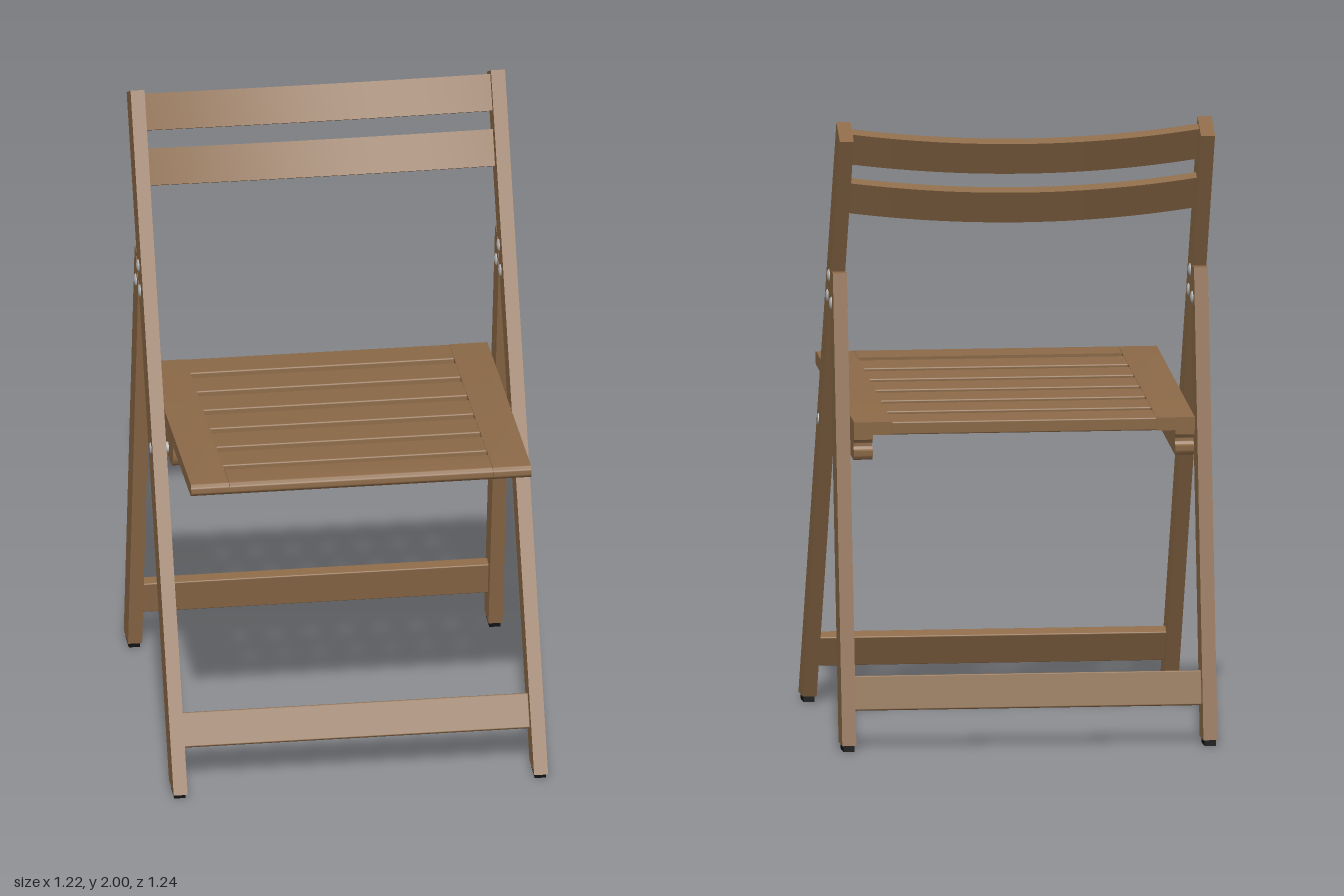
import * as THREE from 'three';
import { toCreasedNormals } from 'three/addons/utils/BufferGeometryUtils.js';
import { RoundedBoxGeometry } from 'three/addons/geometries/RoundedBoxGeometry.js';

const material = (name, color) => {
  const m = new THREE.MeshStandardMaterial({ color });
  m.name = name;
  return m;
};

export function createModel() {
  const wood = material('wood', 0x8b6947);
  const metal = material('metal', 0xb4b6b8);
  const rubber = material('rubber', 0x101010);
  const chair = new THREE.Group();
  chair.name = 'foldingChair';

  const add = (parent, name, geometry, mat, x = 0, y = 0, z = 0) => {
    const mesh = new THREE.Mesh(geometry, mat);
    mesh.name = name;
    mesh.position.set(x, y, z);
    parent.add(mesh);
    return mesh;
  };

  // Side profile in (z, y), given thickness along x
  const plank = (shape, width) => {
    const g = new THREE.ExtrudeGeometry(shape, { depth: width, bevelEnabled: false, curveSegments: 10 });
    g.translate(0, 0, -width / 2).rotateY(-Math.PI / 2);
    return toCreasedNormals(g, 0.6);
  };
  const polygon = (pts) => new THREE.Shape(pts.map(([z, y]) => new THREE.Vector2(z, y)));

  const frontLegShape = polygon([[0.495, 0.02], [0.61, 0.02], [-0.45, 2], [-0.545, 1.95]]);
  const rearLegShape = polygon([[-0.615, 0.02], [-0.51, 0.02], [-0.26, 1.4], [-0.31, 1.5], [-0.35, 1.5]]);

  // Seat is a tilted group with its boards in local space
  const seat = new THREE.Group();
  seat.name = 'seat';
  seat.position.set(0, 1.054, 0.08);
  seat.rotation.x = -0.0715;
  chair.add(seat);
  const T = 0.042, L = 1.083;

  // Board profile with a rounded nose at the front
  const noseBoard = (back, front) => {
    const s = new THREE.Shape();
    s.moveTo(back, -T / 2);
    s.lineTo(front - T / 2, -T / 2);
    s.absarc(front - T / 2, 0, T / 2, -Math.PI / 2, Math.PI / 2, false);
    s.lineTo(back, T / 2);
    return s;
  };

  // Support rail under the seat: rounded ends and a notch at the rear
  const railShape = new THREE.Shape();
  railShape.moveTo(-0.515, -0.105);
  railShape.lineTo(0.03, -0.105);
  railShape.quadraticCurveTo(0.08, -0.105, 0.08, -0.055);
  railShape.lineTo(0.08, -T / 2);
  railShape.lineTo(-0.54, -T / 2);
  railShape.lineTo(-0.54, -0.036);
  railShape.absarc(-0.54, -0.054, 0.018, Math.PI / 2, -Math.PI / 2, true);
  railShape.lineTo(-0.54, -0.085);
  railShape.quadraticCurveTo(-0.54, -0.105, -0.515, -0.105);

  const boltGeometry = new THREE.SphereGeometry(0.02, 12, 8).scale(0.4, 1, 1);
  const pinGeometry = new THREE.CylinderGeometry(0.017, 0.017, 0.134, 16).rotateZ(Math.PI / 2);

  for (const [side, s] of [['left', 1], ['right', -1]]) {
    add(chair, side + 'FrontLeg', plank(frontLegShape, 0.045), wood, s * 0.5775);
    add(chair, side + 'RearLeg', plank(rearLegShape, 0.045), wood, s * 0.5775);
    // Rubber feet
    add(chair, side + 'FrontFoot', new THREE.BoxGeometry(0.036, 0.022, 0.08), rubber, s * 0.5775, 0.011, 0.55);
    add(chair, side + 'RearFoot', new THREE.BoxGeometry(0.036, 0.022, 0.08), rubber, s * 0.5775, 0.011, -0.565);
    // Hinge bolts, domed on both faces of the legs
    for (const [z, y] of [[-0.25, 1.48], [-0.21, 1.41], [-0.312, 1.4]])
      for (const x of [0.555, 0.6]) add(chair, side + 'HingeBolt', boltGeometry, metal, s * x, y, z);
    // Seat pivot
    add(chair, side + 'SeatPivot', pinGeometry, metal, s * 0.536, 0.978, 0.048);
    // Seat side boards and support rails
    add(seat, side + 'SeatBoard', plank(noseBoard(-L / 2, L / 2), 0.122), wood, s * 0.484);
    add(seat, side + 'SeatRail', plank(railShape, 0.06), wood, s * 0.514);
  }

  // Seat slats
  add(seat, 'frontSeatSlat', plank(noseBoard(L / 2 - 0.12, L / 2), 0.844), wood);
  for (let i = 1; i < 7; i++)
    add(seat, 'seatSlat', new RoundedBoxGeometry(0.85, T, 0.12, 2, 0.005), wood, 0, 0, L / 2 - 0.06 - i * 0.1605);

  // Lower crossbars, tilted with their legs
  const bar = (name, h, t, y, z, tilt) => {
    add(chair, name, new RoundedBoxGeometry(1.114, h, t, 2, 0.004), wood, 0, y, z).rotation.x = tilt;
  };
  bar('frontCrossbar', 0.111, 0.0375, 0.178, 0.463, -0.49);
  bar('rearCrossbar', 0.11, 0.041, 0.178, -0.537, 0.178);

  // Backrest slats bowed towards the rear
  const bow = new THREE.Shape();
  const half = 0.556, thick = 0.03, depth = 0.065, n = 24;
  const arc = (u) => depth * u * u;
  for (let i = 0; i <= n; i++) {
    const u = (2 * i) / n - 1;
    if (i === 0) bow.moveTo(u * half, arc(u) - thick / 2);
    else bow.lineTo(u * half, arc(u) - thick / 2);
  }
  for (let i = n; i >= 0; i--) {
    const u = (2 * i) / n - 1;
    bow.lineTo(u * half, arc(u) + thick / 2);
  }
  const slat = new THREE.ExtrudeGeometry(bow, { depth: 0.117, bevelEnabled: false });
  slat.translate(0, 0, -0.0585).rotateX(1.08);
  const backGeometry = toCreasedNormals(slat, 0.6);
  add(chair, 'lowerBackSlat', backGeometry, wood, 0, 1.725, -0.448);
  add(chair, 'upperBackSlat', backGeometry, wood, 0, 1.89, -0.51);

  return chair;
}
